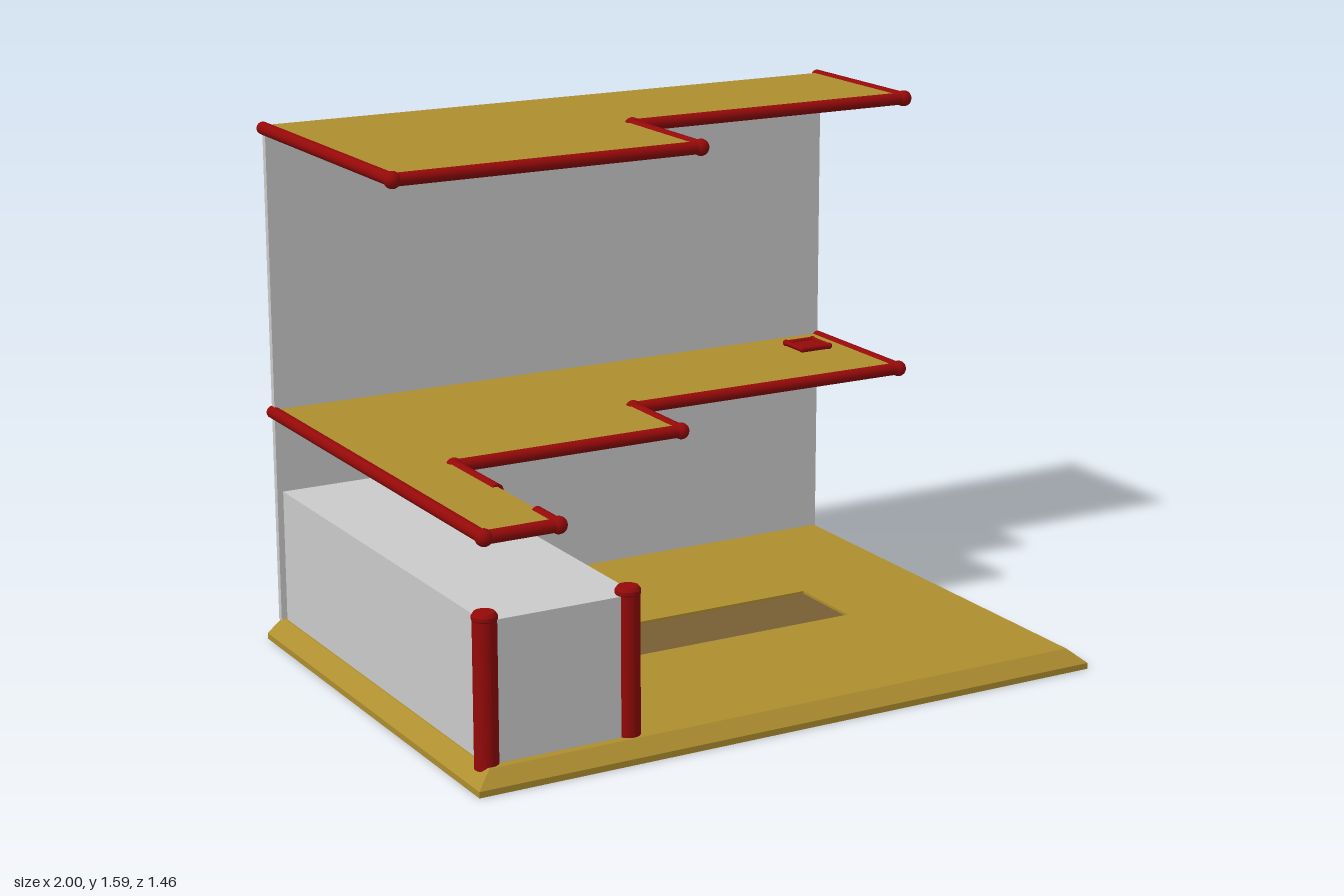
import * as THREE from 'three';

const mat = (color, extra = {}) => new THREE.MeshStandardMaterial({ color, ...extra });
const GOLD = mat(0xae8e2f), RED = mat(0x940909), BROWN = mat(0x785e33), GREY = mat(0xcccccc);
const GOLD_THIN = mat(0xae8e2f, { side: THREE.DoubleSide });

export function createModel() {
  const model = new THREE.Group();

  function group(name, parent = model) {
    const g = new THREE.Group();
    g.name = name;
    parent.add(g);
    return g;
  }

  function add(name, geo, material, parent = model) {
    const mesh = new THREE.Mesh(geo, material);
    mesh.name = name;
    parent.add(mesh);
    return mesh;
  }

  // box given by its limits on each axis
  function block(name, [x0, x1], [y0, y1], [z0, z1], material, parent) {
    const mesh = add(name, new THREE.BoxGeometry(x1 - x0, y1 - y0, z1 - z0), material, parent);
    mesh.position.set((x0 + x1) / 2, (y0 + y1) / 2, (z0 + z1) / 2);
  }

  // flat slab from an outline of [x, z] points
  function slab(name, outline, y0, y1, parent, holes = []) {
    const flip = pts => pts.map(([x, z]) => new THREE.Vector2(x, -z));
    const shape = new THREE.Shape(flip(outline));
    holes.forEach(h => shape.holes.push(new THREE.Path(flip(h))));
    const geo = new THREE.ExtrudeGeometry(shape, { depth: y1 - y0, bevelEnabled: false });
    geo.rotateX(-Math.PI / 2);
    geo.translate(0, y0, 0);
    add(name, geo, GOLD, parent);
  }

  const rect = (x0, x1, z0, z1) => [[x0, z0], [x0, z1], [x1, z1], [x1, z0]];

  // round rails along a path of [x, z] points, with ball joints at the corners
  function rails(path, y, parent, r = 0.019) {
    for (let i = 0; i < path.length - 1; i++) {
      const a = new THREE.Vector3(path[i][0], y, path[i][1]);
      const b = new THREE.Vector3(path[i + 1][0], y, path[i + 1][1]);
      const rail = add('rail', new THREE.CylinderGeometry(r, r, a.distanceTo(b), 16), RED, parent);
      rail.position.copy(a).lerp(b, 0.5);
      rail.quaternion.setFromUnitVectors(new THREE.Vector3(0, 1, 0), b.sub(a).normalize());
      if (i > 0) add('railJoint', new THREE.SphereGeometry(r * 1.3, 16, 10), RED, parent).position.copy(a);
    }
  }

  // base: thin floor with a shallow recess, and an open sloped skirt on three sides
  const base = group('base');
  const BACK = -0.716;
  block('underfloor', [-0.95, 0.95], [0.048, 0.05], [BACK, 0.69], GOLD, base);
  slab('floor', rect(-0.95, 0.95, BACK, 0.69), 0.05, 0.06, base, [rect(-0.49, 0.555, -0.14, 0.115)]);
  block('recessFloor', [-0.49, 0.555], [0.049, 0.052], [-0.14, 0.115], BROWN, base);

  // skirt bands: upright lip below, slope above
  const outer = rect(-1, 1, BACK, 0.73), inner = rect(-0.95, 0.95, BACK, 0.69);
  const levels = [[outer, 0], [outer, 0.018], [inner, 0.06]];
  const pos = [];
  for (let k = 0; k < 2; k++) {
    for (let i = 0; i < 3; i++) {
      const corner = ([loop, y], j) => [loop[j][0], y, loop[j][1]];
      const a = corner(levels[k], i), b = corner(levels[k], i + 1);
      const c = corner(levels[k + 1], i), d = corner(levels[k + 1], i + 1);
      pos.push(...a, ...b, ...d, ...a, ...d, ...c);
    }
  }
  const skirt = new THREE.BufferGeometry();
  skirt.setAttribute('position', new THREE.Float32BufferAttribute(pos, 3));
  skirt.computeVertexNormals();
  add('skirt', skirt, GOLD_THIN, base);

  // back wall and the long enclosed block
  block('backWall', [-0.957, 0.955], [0.053, 1.565], [-0.726, -0.706], GREY);
  block('enclosure', [-0.945, -0.485], [0.06, 0.465], [-0.69, 0.665], GREY);

  // front corner posts with rounded caps
  const profile = [[0, 0.046], [0.034, 0.046], [0.034, 0.465], [0.036, 0.468], [0.036, 0.478], [0.029, 0.488], [0, 0.489]];
  for (const x of [-0.938, -0.505]) {
    const geo = new THREE.LatheGeometry(profile.map(p => new THREE.Vector2(...p)), 24).toNonIndexed();
    geo.computeVertexNormals();
    add('cornerPost', geo, RED).position.set(x, 0, 0.65);
  }

  // decks: floors stop inside the wall, rails run on to its back face
  const WALL = -0.712, RAIL_END = -0.728;
  const stepped = (z, end) => [[0, z], [0, -0.227], [0.953, -0.227], [0.953, end]];

  const upper = group('upperDeck');
  const upperEdge = end => [[-0.955, end], [-0.955, 0.17], ...stepped(0.17, end)];
  slab('upperFloor', upperEdge(WALL), 1.552, 1.575, upper);
  rails(upperEdge(RAIL_END), 1.564, upper);

  // lower deck has a narrow arm with a gap in its railing
  const lower = group('lowerDeck');
  const arm = end => [[-0.955, end], [-0.955, 0.69], [-0.735, 0.69]];
  const lowerEdge = end => [[-0.735, 0.06], ...stepped(0.06, end)];
  slab('lowerFloor', [...arm(WALL), ...lowerEdge(WALL)], 0.694, 0.717, lower);
  rails([...arm(RAIL_END), [-0.735, 0.565]], 0.706, lower);
  rails([[-0.735, 0.33], ...lowerEdge(RAIL_END)], 0.706, lower);

  // framed hatch on the lower deck
  const hatch = group('hatch', lower);
  block('hatchPanel', [0.775, 0.875], [0.71, 0.727], [-0.61, -0.51], RED, hatch);
  const ring = rect(0.775, 0.875, -0.61, -0.51);
  rails([...ring, ring[0], ring[1]], 0.727, hatch, 0.008);

  return model;
}
